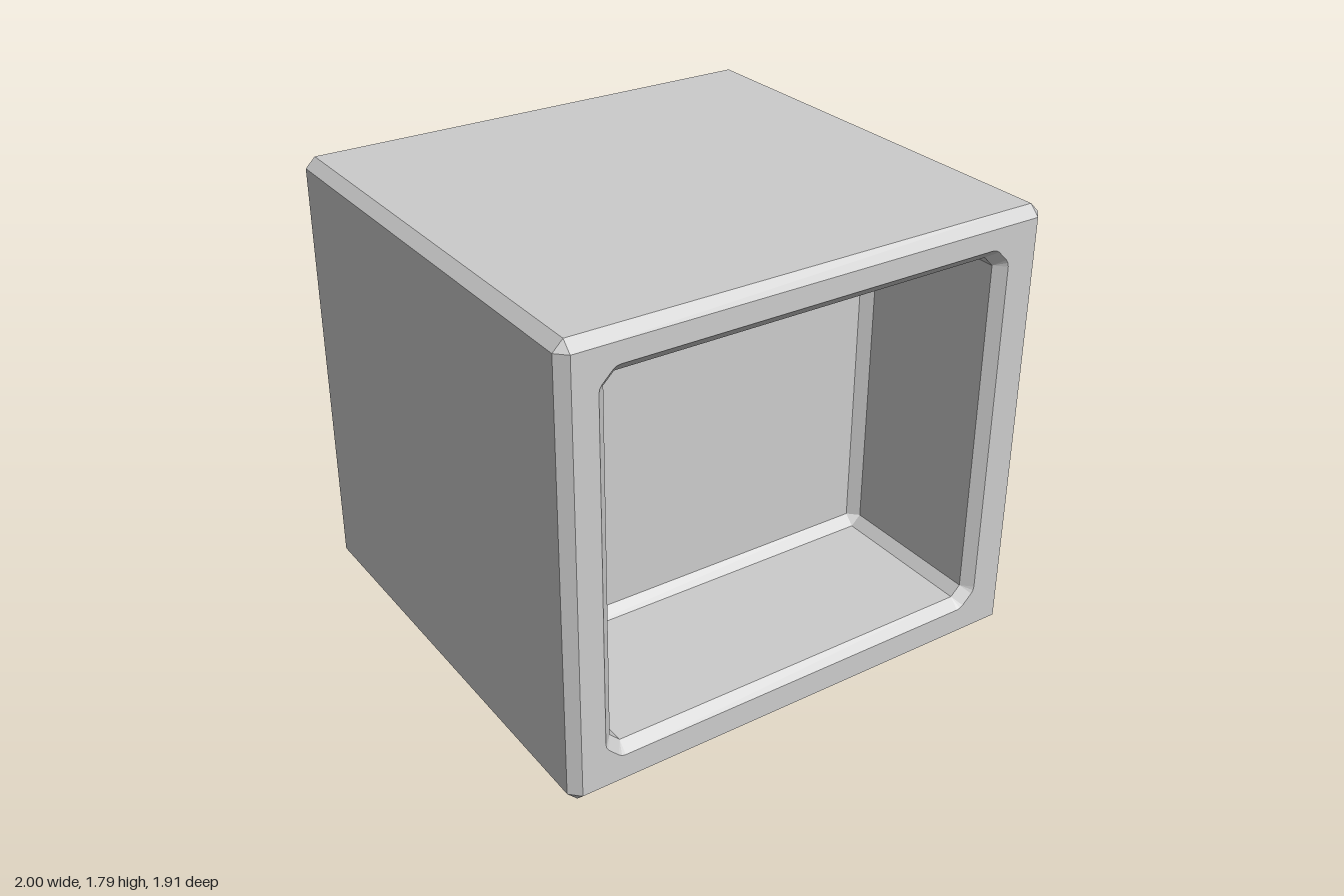
import * as THREE from 'three';

const CH = 0.04; // bevel width used on every edge
const STEPS = [0, 22.5, 45]; // arc angles per octagon vertex

// Ring of 24 points around a rectangle [x0, x1, y0, y1] with bevelled corners.
// round: arc offset outwards; inset: shrink to the sharp rectangle inside the bevels.
function ring([x0, x1, y0, y1], z, { round = 0, inset = false } = {}) {
  const points = [];
  const corners = [[x1, y1, 1, 1], [x0, y1, -1, 1], [x0, y0, -1, -1], [x1, y0, 1, -1]];
  corners.forEach(([x, y, sx, sy], k) => {
    const side = [x, y - sy * CH], end = [x - sx * CH, y];
    const pair = k % 2 === 0 ? [side, end] : [end, side];
    pair.forEach(([px, py], j) => {
      for (const step of STEPS) {
        const a = THREE.MathUtils.degToRad(k * 90 + j * 45 + step);
        points.push(inset
          ? new THREE.Vector3(x - sx * CH, y - sy * CH, z)
          : new THREE.Vector3(px + round * Math.cos(a), py + round * Math.sin(a), z));
      }
    });
  });
  return points;
}

// Skin consecutive rings and cap both ends, skipping collapsed triangles.
function skin(rings) {
  const position = [];
  const tri = (a, b, c) => {
    const area = b.clone().sub(a).cross(c.clone().sub(a)).length();
    if (area > 1e-7) for (const p of [a, b, c]) position.push(p.x, p.y, p.z);
  };
  const n = rings[0].length;
  for (let r = 0; r < rings.length - 1; r++) {
    const a = rings[r], b = rings[r + 1];
    for (let i = 0; i < n; i++) {
      const j = (i + 1) % n;
      tri(a[i], a[j], b[j]);
      tri(a[i], b[j], b[i]);
    }
  }
  const first = rings[0], last = rings[rings.length - 1];
  for (let i = 1; i < n - 1; i++) {
    tri(first[0], first[i + 1], first[i]);
    tri(last[0], last[i], last[i + 1]);
  }
  const geometry = new THREE.BufferGeometry();
  geometry.setAttribute('position', new THREE.Float32BufferAttribute(position, 3));
  geometry.computeVertexNormals();
  return geometry;
}

export function createModel() {
  const group = new THREE.Group();
  group.name = 'openBox';
  const material = new THREE.MeshStandardMaterial({ color: 0xcccccc, flatShading: true });

  const outer = [-1, 1, 0, 1.795];
  const cavity = [-0.823, 0.798, 0.182, 1.635];
  const depth = 0.957; // half depth of the box
  const floorZ = 0.265; // back wall of the recess

  const box = new THREE.Mesh(skin([
    // bevelled outside, back to front
    ring(outer, -depth, { inset: true }),
    ring(outer, -depth + CH),
    ring(outer, depth - CH),
    ring(outer, depth, { inset: true }),
    // front frame, rounded rim bevel and recess
    ring(cavity, depth, { round: CH }),
    ring(cavity, depth - CH),
    ring(cavity, floorZ + CH),
    ring(cavity, floorZ, { inset: true }),
  ]), material);
  box.name = 'boxBody';
  group.add(box);
  return group;
}
